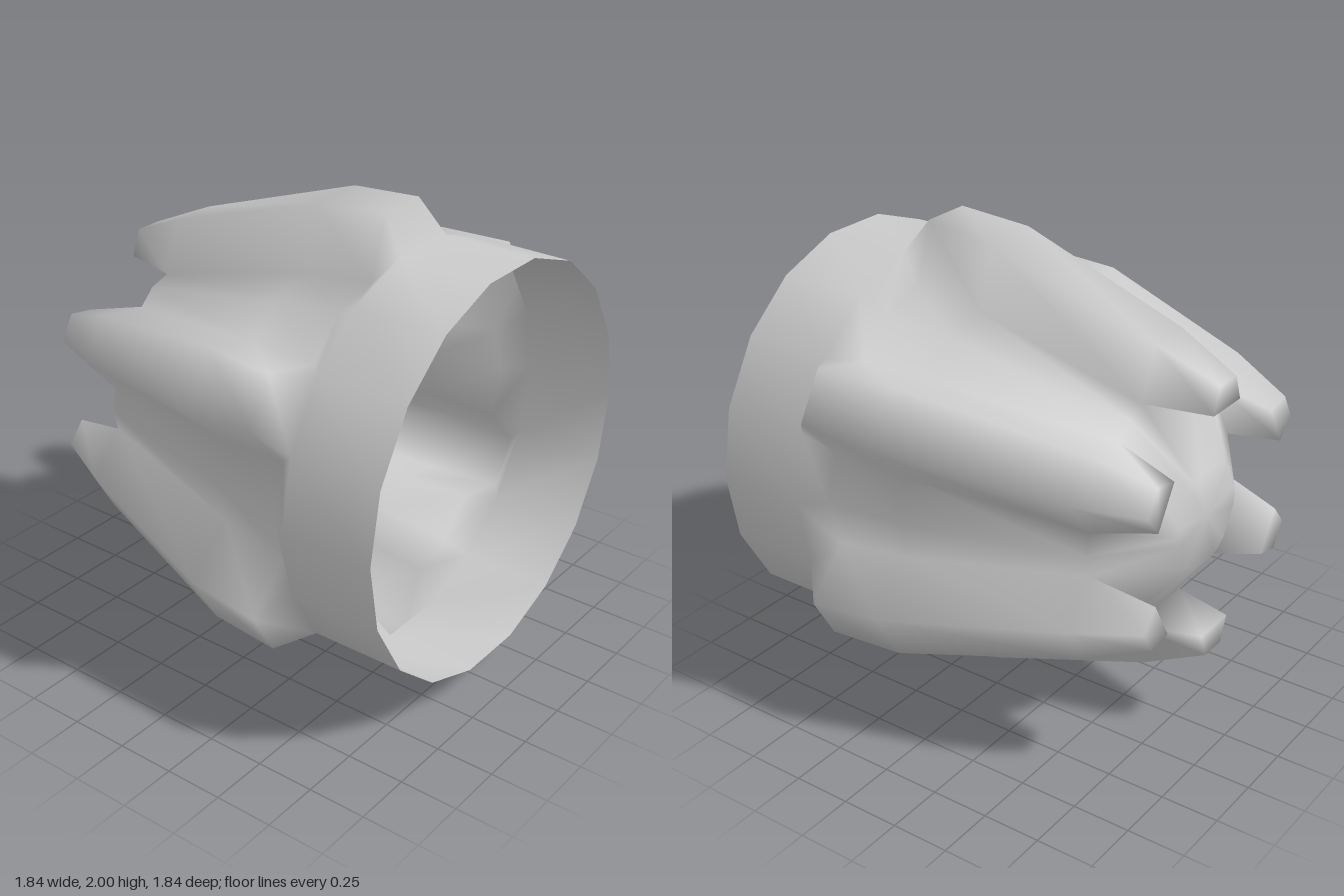
import * as THREE from 'three';

const RIBS = 6;
const STEP = (Math.PI * 2) / RIBS;

// Cross-sections along x: rib foot, rib top (radius, half width) and valley radius
const SECTIONS = [
  { x: 0.92, foot: [0.855, 0.155], top: [0.855, 0.155], valley: 0.87 },
  { x: 0.52, foot: [0.855, 0.155], top: [0.855, 0.155], valley: 0.87 },
  { x: 0.42, foot: [0.74, 0.19], top: [1.0, 0.11], valley: 0.8 },
  { x: 0.1, foot: [0.7, 0.195], top: [0.97, 0.13], valley: 0.75 },
  { x: -0.65, foot: [0.5, 0.18], top: [0.72, 0.1], valley: 0.545 },
];
const TIP = { x: -0.92, foot: [0.49, 0.1], top: [0.6, 0.06] };
const CAP = { x: -0.86, radius: 0.22 };

export function createModel() {
  const positions = [];
  const known = new Map();
  const faces = { shell: [], claws: [], endDome: [] };

  // Shared vertices keep the shading smooth across the parts
  function vertex(x, angle, r, w = 0) {
    const y = 1 + r * Math.cos(angle) - w * Math.sin(angle);
    const z = r * Math.sin(angle) + w * Math.cos(angle);
    const key = [x, y, z].map((v) => Math.round(v * 1e4)).join();
    if (!known.has(key)) {
      known.set(key, positions.length / 3);
      positions.push(x, y, z);
    }
    return known.get(key);
  }
  function tri(part, a, b, c) {
    if (a !== b && b !== c && c !== a) faces[part].push(a, b, c);
  }
  // Joins two rows of points, the second lying further towards -x
  function loft(part, rowA, rowB) {
    for (let i = 0; i + 1 < rowA.length; i++) {
      tri(part, rowA[i], rowB[i], rowA[i + 1]);
      tri(part, rowA[i + 1], rowB[i], rowB[i + 1]);
    }
  }
  // Foot, top, top, foot of one rib
  const ribRow = (s, a) => [
    vertex(s.x, a, s.foot[0], -s.foot[1]), vertex(s.x, a, s.top[0], -s.top[1]),
    vertex(s.x, a, s.top[0], s.top[1]), vertex(s.x, a, s.foot[0], s.foot[1]),
  ];

  const root = SECTIONS[SECTIONS.length - 1];
  const centre = vertex(CAP.x, 0, 0);
  for (let k = 0; k < RIBS; k++) {
    const a = k * STEP;
    const mid = a + STEP / 2;

    // Open collar and hollow ribs, one sixth at a time
    const rows = SECTIONS.map((s) => [
      vertex(s.x, a - STEP / 2, s.valley), ...ribRow(s, a), vertex(s.x, mid, s.valley),
    ]);
    for (let i = 0; i + 1 < rows.length; i++) loft('shell', rows[i], rows[i + 1]);

    // Claw projecting past the end of each rib
    const claw = ribRow(root, a);
    const tip = ribRow(TIP, a);
    loft('claws', [...claw, claw[0]], [...tip, tip[0]]);
    tri('claws', tip[0], tip[3], tip[2]);
    tri('claws', tip[0], tip[2], tip[1]);

    // Conical end with a flat middle
    const outer = [vertex(root.x, a - STEP / 2, root.valley), claw[0], claw[3], vertex(root.x, mid, root.valley)];
    const inner = [-STEP / 2, -0.33, 0.33, STEP / 2].map((d) => vertex(CAP.x, a + d, CAP.radius));
    loft('endDome', outer, inner);
    for (let i = 0; i < 3; i++) tri('endDome', inner[i], centre, inner[i + 1]);
  }

  // Normals are worked out over the whole surface, then shared by the parts
  const whole = new THREE.BufferGeometry();
  whole.setAttribute('position', new THREE.Float32BufferAttribute(positions, 3));
  whole.setIndex(Object.values(faces).flat());
  whole.computeVertexNormals();

  const material = new THREE.MeshStandardMaterial({ color: 0xcccccc, side: THREE.DoubleSide });
  const group = new THREE.Group();
  group.name = 'ribbedHousing';
  for (const [name, index] of Object.entries(faces)) {
    const geometry = new THREE.BufferGeometry();
    geometry.setAttribute('position', whole.getAttribute('position'));
    geometry.setAttribute('normal', whole.getAttribute('normal'));
    geometry.setIndex(index);
    const mesh = new THREE.Mesh(geometry, material);
    mesh.name = name;
    group.add(mesh);
  }
  return group;
}
